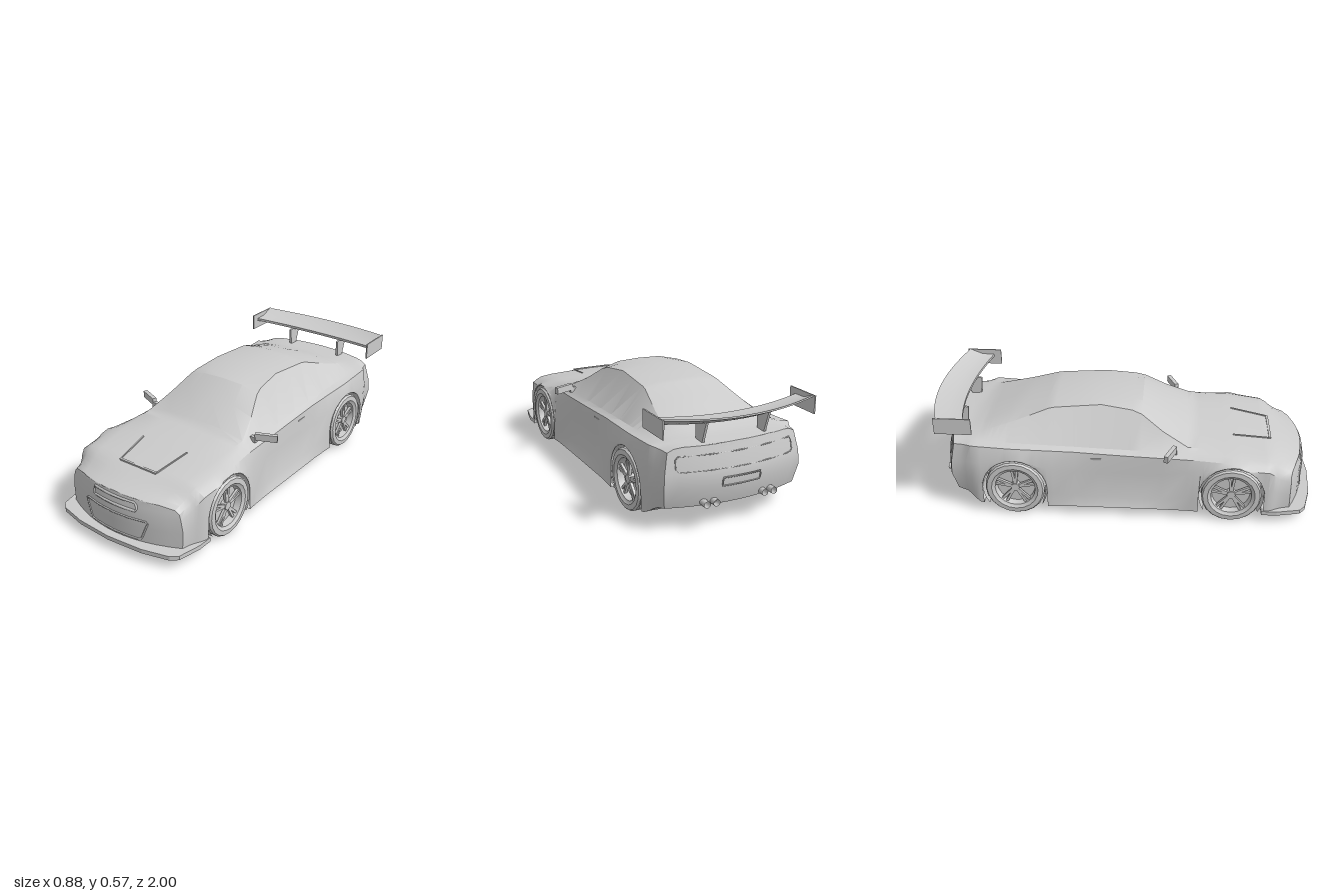
import * as THREE from 'three';
import { toCreasedNormals } from 'three/addons/utils/BufferGeometryUtils.js';

const mat = new THREE.MeshStandardMaterial({ color: 0xcccccc, side: THREE.DoubleSide });
const WHEEL_Z = 0.56, WHEEL_Y = 0.155, ARCH = 0.168, NOSE = 0.955, TAIL = -0.965;

// Lengthwise body lines, front to rear, as [z, x, y]
const sill = [[.95, .35, .06], [.75, .395, .05], [.39, .395, .05], [.3, .388, .05], [-.3, .388, .05], [-.39, .395, .05], [-.74, .395, .06], [-.95, .35, .12]];
const lower = [[.95, .355, .15], [.75, .398, .2], [.56, .4, .2], [.36, .39, .13], [.2, .367, .1], [-.2, .367, .1], [-.36, .388, .13], [-.56, .4, .2], [-.75, .4, .2], [-.95, .365, .22]];
const crease = [[.95, .345, .22], [.75, .39, .3], [.56, .4, .318], [.36, .375, .28], [.2, .36, .25], [-.2, .362, .25], [-.36, .39, .28], [-.56, .4, .318], [-.75, .4, .31], [-.95, .36, .29]];
const shoulder = [[.95, .335, .25], [.75, .362, .318], [.56, .377, .34], [.36, .355, .34], [0, .35, .35], [-.25, .355, .366], [-.56, .377, .385], [-.8, .377, .397], [-.95, .34, .385]];
const belt = [[.95, .315, .267], [.75, .335, .33], [.56, .34, .355], [.36, .322, .367], [0, .32, .367], [-.25, .325, .38], [-.56, .335, .395], [-.8, .32, .407], [-.95, .31, .4]];
const pillar = [[.95, .24, .282], [.75, .27, .338], [.56, .29, .364], [.33, .302, .384], [.2, .262, .45], [.07, .212, .537], [-.12, .195, .559], [-.38, .203, .538], [-.55, .235, .478], [-.75, .27, .418], [-.95, .27, .406]];
const inner = [[.95, .13, .288], [.75, .15, .342], [.56, .16, .371], [.36, .17, .392], [.2, .15, .483], [.09, .125, .553], [-.12, .12, .569], [-.38, .12, .551], [-.55, .14, .498], [-.73, .16, .433], [-.8, .165, .418], [-.95, .15, .409]];
const centre = [[.95, 0, .292], [.75, 0, .345], [.56, 0, .374], [.36, 0, .398], [.2, 0, .492], [.09, 0, .558], [-.12, 0, .573], [-.38, 0, .555], [-.55, 0, .505], [-.73, 0, .437], [-.8, 0, .42], [-.95, 0, .41]];
const rails = [sill, lower, crease, shoulder, belt, pillar, inner, centre];

function sample(rail, z) {
  if (z >= rail[0][0]) return rail[0].slice(1);
  for (let i = 1; i < rail.length; i++) {
    const a = rail[i - 1], b = rail[i];
    if (z >= b[0]) {
      const t = (a[0] - z) / (a[0] - b[0]);
      return [a[1] + (b[1] - a[1]) * t, a[2] + (b[2] - a[2]) * t];
    }
  }
  return rail[rail.length - 1].slice(1);
}

// Bows the nose and tail in plan and leans their faces
function warp(x, y, z) {
  const f = THREE.MathUtils.smoothstep(z, 0.73, NOSE), r = THREE.MathUtils.smoothstep(-z, 0.73, -TAIL);
  const bow = (x / 0.4) ** 2;
  const lean = y > 0.24 ? (y - 0.24) * 0.25 : (0.24 - y) * 0.3;
  return [x, y, z - f * (0.115 * bow + Math.max(0, y - 0.2) * 0.2) + r * (0.08 * bow + lean)];
}

// Surface through a grid of points
function grid(rows, angle = 0.45) {
  const pos = [];
  const tri = (a, b, c) => {
    const [A, B, C] = [a, b, c].map(p => new THREE.Vector3(...p));
    if (B.clone().sub(A).cross(C.clone().sub(A)).length() > 1e-9) pos.push(...a, ...b, ...c);
  };
  for (let i = 0; i + 1 < rows.length; i++) for (let j = 0; j + 1 < rows[i].length; j++) {
    tri(rows[i][j], rows[i + 1][j], rows[i + 1][j + 1]);
    tri(rows[i][j], rows[i + 1][j + 1], rows[i][j + 1]);
  }
  const g = new THREE.BufferGeometry();
  g.setAttribute('position', new THREE.Float32BufferAttribute(pos, 3));
  return toCreasedNormals(g, angle);
}

// Half cross-section at z; inside an arch its lower edge follows the wheel opening
function section(z, archZ) {
  const pts = rails.map(r => sample(r, z));
  if (archZ !== undefined) {
    const y = WHEEL_Y + Math.sqrt(Math.max(0, ARCH ** 2 - (z - archZ) ** 2));
    pts.forEach((p, i) => { p[1] = Math.max(p[1], y + i * 0.004); });
    pts[0][1] = y;
  }
  return { z, pts };
}

export function createModel() {
  const car = new THREE.Group();
  const add = (name, geo, parent = car) => {
    const m = new THREE.Mesh(geo, mat);
    m.name = name;
    parent.add(m);
    return m;
  };
  const box = (name, w, h, d, x, y, z, parent = car) => {
    const m = add(name, new THREE.BoxGeometry(w, h, d), parent);
    m.position.set(x, y, z);
    return m;
  };

  // Body shell with wheel openings
  const plain = zs => zs.map(z => section(z));
  const arch = zc => Array.from({ length: 13 }, (_, i) => section(zc + ARCH * Math.cos(i * Math.PI / 12), zc));
  const rear = plain([-WHEEL_Z - ARCH, -0.75, -0.8, -0.86, -0.91, TAIL]);
  const stations = [
    ...plain([NOSE, 0.92, 0.88, 0.84, 0.8, 0.75, WHEEL_Z + ARCH]), ...arch(WHEEL_Z),
    ...plain([WHEEL_Z - ARCH, 0.36, 0.33, 0.2, 0.09, 0.04, -0.12, -0.25, -0.36, -WHEEL_Z + ARCH]),
    ...arch(-WHEEL_Z), ...rear];
  add('bodyShell', grid(stations.map(({ z, pts }) => [
    ...pts.map(([x, y]) => warp(x, y, z)),
    ...pts.slice(0, -1).reverse().map(([x, y]) => warp(-x, y, z))])));
  const cap = (s, dir) => grid(Array.from({ length: 13 }, (_, i) =>
    s.pts.map(([x, y]) => warp(x * dir * (i / 6 - 1), y, s.z))));
  add('frontBumper', cap(stations[0], 1));
  add('rearBumper', cap(rear[rear.length - 1], -1));

  // Floor with notches for the wheels, rising at the rear
  const half = [[.25, .93], [.34, .85], [.395, .75], [.395, .73], [.27, .73], [.27, .39], [.395, .39], [.388, .3],
    [.388, -.3], [.395, -.39], [.27, -.39], [.27, -.728]];
  const outline = [...half, ...half.map(([x, z]) => [-x, z]).reverse()].map(p => new THREE.Vector2(...p));
  const floor = add('floor', new THREE.ShapeGeometry(new THREE.Shape(outline)).rotateX(Math.PI / 2));
  floor.position.y = 0.05;
  add('rearFloor', grid(rear.map(({ z, pts }) => Array.from({ length: 9 }, (_, i) =>
    warp(pts[0][0] * (i / 4 - 1), pts[0][1], z)))));

  // Front splitter
  const lip = [[.4, .72], [.4, .8], [.375, .92], [.34, .95], [.2, .985], [0, 1]];
  const lipShape = new THREE.Shape([...lip, ...lip.slice(0, -1).map(([x, z]) => [-x, z]).reverse()].map(p => new THREE.Vector2(...p)));
  const splitter = add('splitter', new THREE.ExtrudeGeometry(lipShape, { depth: 0.022, bevelEnabled: false }).rotateX(Math.PI / 2));
  splitter.position.y = 0.069;

  // Raised outlines lying on the bumper faces
  const trim = (name, corners, z, radius = 0.005) => {
    const pts = corners.flatMap((c, i) => {
      const n = corners[(i + 1) % corners.length];
      return [0, 0.25, 0.5, 0.75].map(t => new THREE.Vector3(...warp(c[0] + (n[0] - c[0]) * t, c[1] + (n[1] - c[1]) * t, z)));
    });
    const path = new THREE.CatmullRomCurve3(pts, true, 'catmullrom', 0);
    add(name, new THREE.TubeGeometry(path, pts.length * 2, radius, 5, true));
  };
  trim('lowerIntake', [[-.185, .185], [.185, .185], [.195, .175], [.16, .085], [.145, .08], [-.145, .08], [-.16, .085], [-.195, .175]], NOSE);
  trim('grilleFrame', [[-.13, .268], [.13, .268], [.138, .228], [-.138, .228]], NOSE, 0.007);
  trim('tailPanel', [[-.3, .365], [.3, .365], [.31, .35], [.31, .3], [.29, .295], [-.29, .295], [-.31, .3], [-.31, .35]], TAIL, 0.003);
  trim('plateRecess', [[-.1, .255], [.1, .255], [.1, .215], [-.1, .215]], TAIL, 0.004);

  // Bonnet vent lip
  box('ventFront', 0.23, 0.008, 0.012, 0, 0.342, 0.765);

  for (const s of [1, -1]) {
    const side = s > 0 ? 'left' : 'right';
    const ventSide = box(side + 'VentSide', 0.006, 0.006, 0.2, s * 0.128, 0.358, 0.665);
    ventSide.rotation.set(0.15, -s * 0.13, 0);

    // Door mirror and handle
    const mirror = box(side + 'Mirror', 0.115, 0.036, 0.022, s * 0.385, 0.392, 0.242);
    mirror.rotation.y = s * 0.4;
    box(side + 'MirrorStalk', 0.03, 0.03, 0.02, s * 0.325, 0.375, 0.265);
    box(side + 'DoorHandle', 0.012, 0.012, 0.06, s * 0.352, 0.326, -0.14);

    // Twin exhausts
    for (const x of [0.13, 0.18]) {
      const pipe = add(side + 'Exhaust', new THREE.CylinderGeometry(0.017, 0.017, 0.07, 10, 1, true).rotateX(Math.PI / 2));
      pipe.position.set(s * x, 0.14, -0.925);
    }

    // Wing strut and end plate
    const strut = new THREE.Shape([[-.83, .4], [-.88, .4], [-.92, .52], [-.82, .505]].map(p => new THREE.Vector2(...p)));
    const strutMesh = add(side + 'WingStrut', new THREE.ExtrudeGeometry(strut, { depth: 0.012, bevelEnabled: false }).rotateY(-Math.PI / 2));
    strutMesh.position.x = s * 0.165 + 0.006;
    box(side + 'EndPlate', 0.007, 0.088, 0.19, s * 0.398, 0.522, -0.85);

    for (const zc of [WHEEL_Z, -WHEEL_Z]) addWheel(add, car, s, zc, (zc > 0 ? 'front' : 'rear') + (s > 0 ? 'Left' : 'Right'));
  }

  // Swept wing blade
  const blade = [];
  for (let i = -8; i <= 8; i++) {
    const x = i * 0.05, q = (x / 0.4) ** 2, lift = 0.016 * q;
    const le = -0.85 + 0.055 * q, te = -1 + 0.07 * q;
    const loop = [[le, .508], [le, .522], [(le + te) / 2, .524], [te, .552], [te, .543], [(le + te) / 2, .508]];
    blade.push([...loop, loop[0]].map(([z, y]) => [x, y + lift, z]));
  }
  add('wingBlade', grid(blade.reverse(), 0.6));
  return car;
}

// Tyre, dished rim, paired spokes and the liner around them
function addWheel(add, car, s, zc, name) {
  const wheel = new THREE.Group();
  wheel.name = name + 'Wheel';
  wheel.position.set(s * 0.34, WHEEL_Y, zc);
  wheel.rotation.y = s > 0 ? 0 : Math.PI;
  car.add(wheel);
  const profile = [[0, -.06], [.14, -.06], [.155, -.05], [.155, .048], [.147, .058], [.122, .06], [.115, .054], [.105, .05], [.1, .015], [0, .015]];
  const tyre = new THREE.LatheGeometry(profile.map(p => new THREE.Vector2(...p)), 20);
  add('tyreAndRim', toCreasedNormals(tyre.rotateZ(-Math.PI / 2), 0.5), wheel);
  add('hub', new THREE.CylinderGeometry(0.022, 0.026, 0.03, 10).rotateZ(-Math.PI / 2).translate(0.03, 0, 0), wheel);
  for (let i = 0; i < 5; i++) for (const d of [-0.13, 0.13]) {
    const spoke = add('spoke', new THREE.BoxGeometry(0.014, 0.09, 0.013).translate(0.034, 0.06, 0), wheel);
    spoke.rotation.x = i * Math.PI * 0.4 + d;
  }
  // Wheel well
  const well = add(name + 'Well', new THREE.CylinderGeometry(ARCH, ARCH, 0.125, 24, 1, true, -0.6, Math.PI + 1.2)
    .rotateX(Math.PI / 2).rotateZ(Math.PI / 2).rotateY(Math.PI / 2));
  well.position.set(s * 0.3325, WHEEL_Y, zc);
  const back = add(name + 'WellWall', new THREE.CircleGeometry(ARCH, 24, -0.6, Math.PI + 1.2).rotateY(Math.PI / 2));
  back.position.set(s * 0.27, WHEEL_Y, zc);
}
